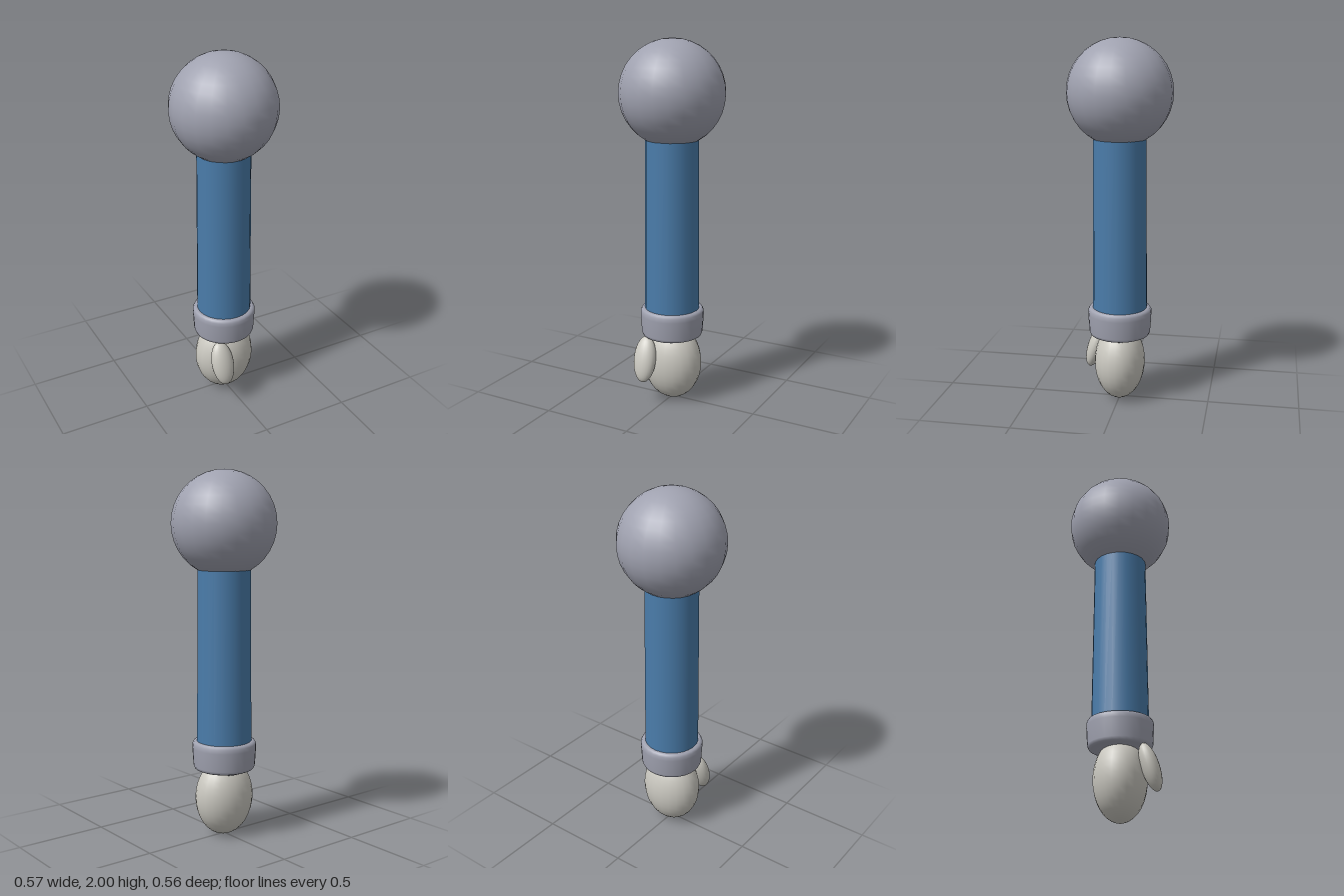
import * as THREE from 'three';

const mat = (name, color) => {
  const m = new THREE.MeshStandardMaterial({ color });
  m.name = name;
  return m;
};

export function createModel() {
  const grey = mat('shoulder and cuff grey', 0xa0a2b0);
  const blue = mat('sleeve blue', 0x4a7caa);
  const ivory = mat('glove ivory', 0xcac8c0);
  const model = new THREE.Group();
  model.name = 'arm';

  const add = (name, geometry, material, x = 0, y = 0, z = 0) => {
    const mesh = new THREE.Mesh(geometry, material);
    mesh.name = name;
    mesh.position.set(x, y, z);
    model.add(mesh);
    return mesh;
  };
  const ellipsoid = (rx, ry, rz) => new THREE.SphereGeometry(1, 22, 18).scale(rx, ry, rz);

  // Shoulder ball
  add('shoulder', ellipsoid(0.284, 0.284, 0.284), grey, 0, 1.716, 0);

  // Slightly flared sleeve, running into the ball and the cuff
  add('sleeve', new THREE.CylinderGeometry(0.142, 0.151, 1.15, 24), blue, 0, 1.025, 0);

  // Rounded cuff with a shallow domed underside around the wrist
  const cuffProfile = [
    [0, 0.345], [0.095, 0.352], [0.12, 0.374], [0.15, 0.378], [0.163, 0.384], [0.17, 0.4],
    [0.176, 0.5], [0.175, 0.522], [0.168, 0.534], [0.155, 0.538], [0.14, 0.536],
  ].map(([r, y]) => new THREE.Vector2(r, y));
  add('cuff', new THREE.LatheGeometry(cuffProfile, 28), grey);

  // Mitten hand and its thumb, which leans forward at the tip
  add('hand', ellipsoid(0.17, 0.216, 0.14), ivory, 0, 0.219, 0);
  const thumb = add('thumb', ellipsoid(0.065, 0.128, 0.047), ivory, -0.089, 0.262, 0.153);
  thumb.rotation.set(-0.3, 0, 0.05);

  return model;
}
